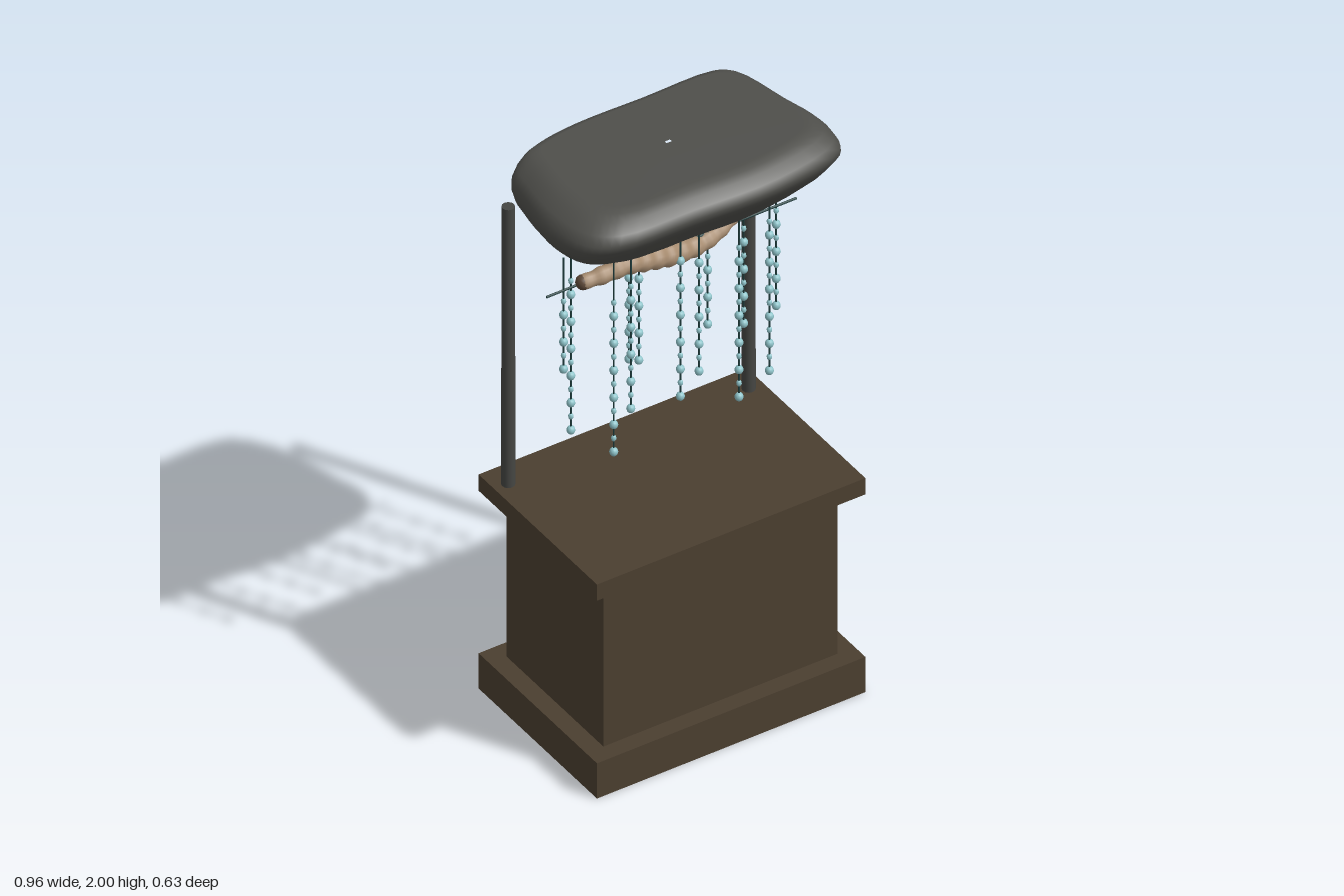
import * as THREE from 'three';

const mat = (name, color, side = THREE.FrontSide) => {
  const m = new THREE.MeshStandardMaterial({ color, side });
  m.name = name;
  return m;
};

export function createModel() {
  const wood = mat('darkWood', 0x4b3f30);
  const stone = mat('stone', 0x4f4f4b);
  const metal = mat('poleGrey', 0x454643);
  const tan = mat('driftwoodTan', 0xa78c70);
  const brown = mat('driftwoodEnd', 0x5e4939);
  const cord = mat('darkTealCord', 0x1f3e3e);
  const glass = mat('paleBlueGlass', 0x8fc4ca);

  const root = new THREE.Group();
  const add = (name, geo, material, x = 0, y = 0, z = 0, parent = root) => {
    const m = new THREE.Mesh(geo, material);
    m.name = name;
    m.position.set(x, y, z);
    parent.add(m);
    return m;
  };
  const V = (x, y, z) => new THREE.Vector3(x, y, z);

  // Cabinet: plinth, body and top slab
  add('plinth', new THREE.BoxGeometry(0.94, 0.13, 0.635), wood, -0.01, 0.065, 0);
  add('cabinetBody', new THREE.BoxGeometry(0.82, 0.6, 0.52), wood, -0.01, 0.43, 0);
  add('cabinetTop', new THREE.BoxGeometry(0.94, 0.06, 0.635), wood, -0.01, 0.76, 0);

  // Two rear poles
  for (const [name, x] of [['rightPole', -0.432], ['leftPole', 0.41]]) {
    add(name, new THREE.CylinderGeometry(0.02, 0.021, 1.03, 12), metal, x, 1.3, -0.232);
  }

  // Boulder canopy
  add('boulder', boulderGeometry(), stone);

  // Horizontal hanging rod
  const rod = add('hangingRod', new THREE.CylinderGeometry(0.004, 0.004, 0.875, 6), cord, -0.012, 1.635, 0);
  rod.rotation.z = Math.PI / 2;

  // Driftwood branch, its dark end and the glass end
  const branch = new THREE.CatmullRomCurve3([
    V(-0.34, 1.655, 0.02), V(-0.27, 1.662, 0.03), V(-0.19, 1.668, 0.03), V(-0.1, 1.645, 0.02),
    V(-0.02, 1.622, 0.01), V(0.07, 1.607, 0), V(0.14, 1.617, -0.005), V(0.2, 1.638, -0.015), V(0.245, 1.655, -0.025)]);
  add('driftwood', knobbyTube(branch, 80, (t) =>
    (0.022 + 0.014 * Math.sin(Math.PI * Math.min(1, t * 1.1))) * (1 + 0.07 * Math.sin(t * 75))), tan);
  const end = add('driftwoodTip', new THREE.SphereGeometry(0.024, 12, 8), brown, -0.336, 1.655, 0.02);
  end.scale.x = 0.9;
  const tip = new THREE.CatmullRomCurve3([
    V(0.215, 1.652, -0.022), V(0.25, 1.66, -0.028), V(0.29, 1.672, -0.03), V(0.335, 1.682, -0.03)]);
  add('glassBranchEnd', knobbyTube(tip, 32, (t) =>
    0.03 * (1 - 0.25 * t) * (1 + 0.08 * Math.sin(t * 19)) * Math.min(1, 0.4 + Math.sqrt(Math.max(0, Math.sin(Math.PI * t))))), glass);

  // Beaded strands: x, lowest y, z
  const strands = [
    [-0.39, 1.33, 0], [-0.325, 1.04, -0.06], [-0.263, 1.02, 0.075], [-0.2, 1.15, 0.07], [-0.138, 1.24, -0.035],
    [-0.074, 1.18, -0.08], [-0.01, 1.1, 0.045], [0.052, 1.17, 0.05], [0.115, 1.285, 0], [0.179, 1.035, 0.07],
    [0.241, 1.235, 0], [0.305, 1.06, 0.04], [0.368, 1.235, -0.02]];
  const bigBead = new THREE.SphereGeometry(0.0135, 10, 8);
  const smallBead = new THREE.SphereGeometry(0.0085, 8, 6);
  strands.forEach(([x, low, z], i) => {
    const g = new THREE.Group();
    g.name = 'beadStrand' + (i + 1);
    root.add(g);
    add('cord', new THREE.CylinderGeometry(0.003, 0.003, 1.755 - low, 5), cord, x, (1.755 + low) / 2, z, g);
    let k = 0;
    for (let y = low + 0.015; y < 1.63; y += 0.05, k++) {
      const big = k % 2 === 0;
      const bead = add('bead', big ? bigBead : smallBead, glass, x, y, z, g);
      bead.scale.y = big ? 1.1 : 1.3;
    }
  });
  return root;
}

// Tube whose radius follows a function of its length, with closed ends
function knobbyTube(curve, steps, radius) {
  const sides = 12, pos = [], idx = [];
  const frames = curve.computeFrenetFrames(steps, false);
  const ring = (t, i, r) => {
    const p = curve.getPointAt(t);
    for (let j = 0; j < sides; j++) {
      const a = (j / sides) * Math.PI * 2;
      const v = p.clone().addScaledVector(frames.normals[i], Math.cos(a) * r)
        .addScaledVector(frames.binormals[i], Math.sin(a) * r);
      pos.push(v.x, v.y, v.z);
    }
  };
  ring(0, 0, 0.0005);
  for (let i = 0; i <= steps; i++) ring(i / steps, i, radius(i / steps));
  ring(1, steps, 0.0005);
  return stitch(pos, idx, sides, steps + 3);
}

// Boulder: one plan outline fitted to the extents of each level
function boulderGeometry() {
  const outline = [[-0.44, -0.22], [-0.38, -0.245], [-0.22, -0.265], [0.05, -0.262], [0.34, -0.258], [0.395, -0.225],
    [0.45, -0.02], [0.48, 0.12], [0.45, 0.205], [0.2, 0.268], [-0.1, 0.26], [-0.36, 0.248],
    [-0.44, 0.19], [-0.475, 0.05], [-0.462, -0.13]];
  const plan = new THREE.CatmullRomCurve3(outline.map(([x, z]) => new THREE.Vector3(x, 0, z)), true, 'centripetal');
  // y, min x, max x, min z, max z
  const levels = [
    [1.755, -0.01, 0.01, -0.04, -0.03], [1.755, -0.17, 0.32, -0.185, 0.115], [1.765, -0.27, 0.365, -0.203, 0.14],
    [1.785, -0.36, 0.41, -0.212, 0.16], [1.82, -0.435, 0.457, -0.222, 0.188], [1.87, -0.468, 0.48, -0.235, 0.225],
    [1.91, -0.478, 0.479, -0.245, 0.257], [1.94, -0.472, 0.47, -0.253, 0.27], [1.965, -0.45, 0.457, -0.259, 0.255],
    [1.985, -0.415, 0.437, -0.264, 0.225], [1.996, -0.39, 0.415, -0.26, 0.2], [2.0, -0.36, 0.39, -0.245, 0.175],
    [2.0, -0.01, 0.01, -0.04, -0.03]];
  const sides = 60, pos = [], idx = [];
  for (const [y, x0, x1, z0, z1] of levels) {
    for (let j = 0; j < sides; j++) {
      const p = plan.getPoint(1 - j / sides);
      pos.push(x0 + (x1 - x0) * (p.x + 0.478) / 0.958, y, z0 + (z1 - z0) * (p.z + 0.265) / 0.533);
    }
  }
  return stitch(pos, idx, sides, levels.length);
}

// Join successive rings into a smooth surface
function stitch(pos, idx, sides, rings) {
  for (let i = 0; i < rings - 1; i++) {
    for (let j = 0; j < sides; j++) {
      const a = i * sides + j, b = i * sides + (j + 1) % sides;
      idx.push(a, b, a + sides, b, b + sides, a + sides);
    }
  }
  const g = new THREE.BufferGeometry();
  g.setAttribute('position', new THREE.Float32BufferAttribute(pos, 3));
  g.setIndex(idx);
  // Turn the faces outward if the rings run the other way
  const p = (i) => new THREE.Vector3().fromBufferAttribute(g.attributes.position, i);
  let volume = 0;
  const c = p(Math.floor(rings / 2) * sides);
  for (let i = 0; i < idx.length; i += 3) {
    volume += p(idx[i]).sub(c).dot(p(idx[i + 1]).sub(c).cross(p(idx[i + 2]).sub(c)));
  }
  if (volume < 0) g.setIndex(idx.slice().reverse());
  g.computeVertexNormals();
  return g;
}
